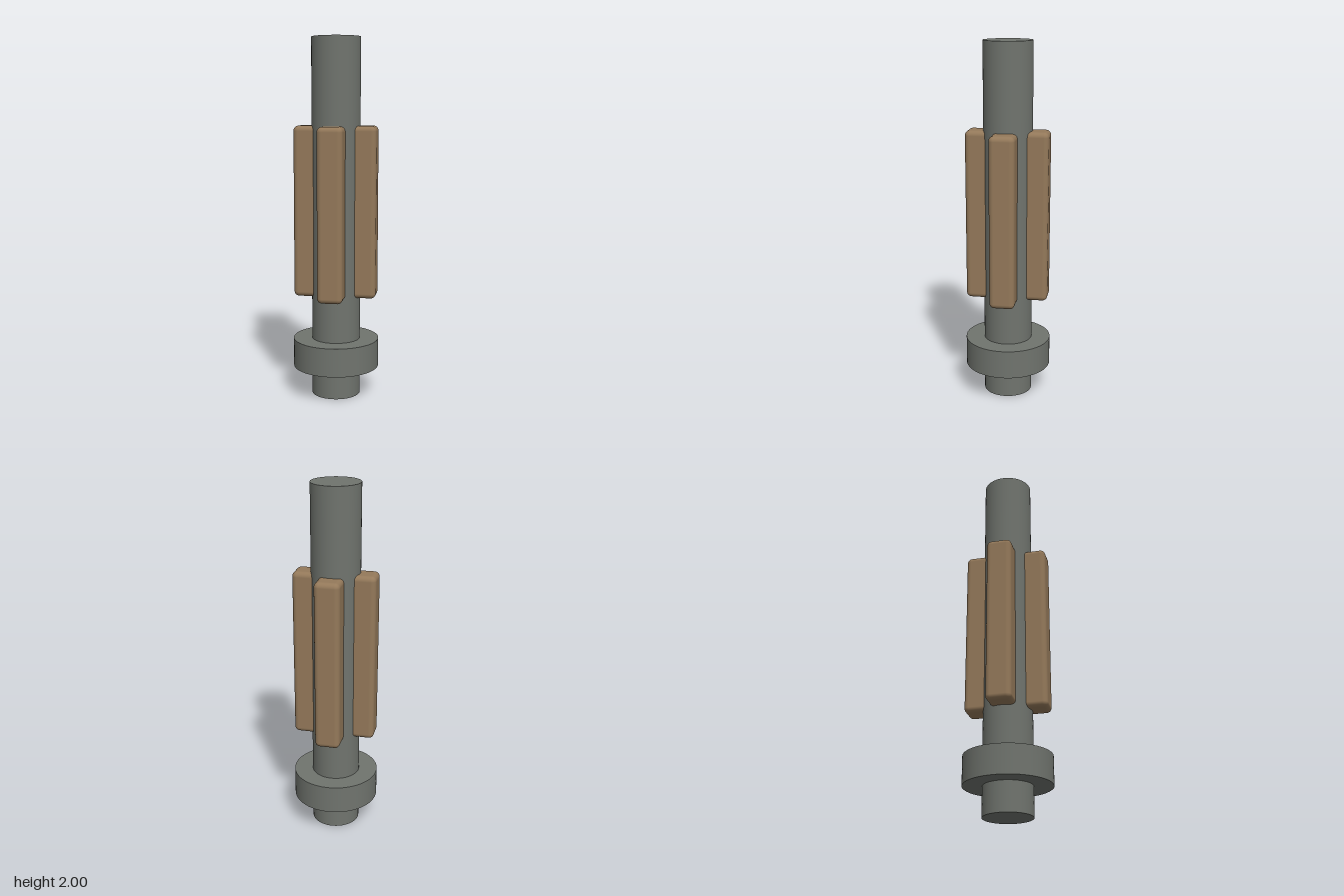
import * as THREE from 'three';
import { RoundedBoxGeometry } from 'three/addons/geometries/RoundedBoxGeometry.js';

export function createModel() {
  const model = new THREE.Group();
  model.name = 'slattedShaft';
  const metal = new THREE.MeshStandardMaterial({ color: 0x70746e });
  const wood = new THREE.MeshStandardMaterial({ color: 0x94795a });

  const add = (name, geometry, material, x, y, z) => {
    const mesh = new THREE.Mesh(geometry, material);
    mesh.name = name;
    mesh.position.set(x, y, z);
    model.add(mesh);
    return mesh;
  };

  // Full-height round shaft with a collar near the foot
  add('shaft', new THREE.CylinderGeometry(0.135, 0.135, 2, 64), metal, 0, 1, 0);
  add('collar', new THREE.CylinderGeometry(0.24, 0.24, 0.16, 64), metal, 0, 0.243, 0);

  // Four rounded slats set into the shaft, a quarter turn apart
  const slat = new RoundedBoxGeometry(0.14, 0.955, 0.14, 5, 0.028);
  ['frontSlat', 'leftSlat', 'backSlat', 'rightSlat'].forEach((name, i) => {
    const angle = (i * Math.PI) / 2;
    const mesh = add(name, slat, wood, 0.16 * Math.sin(angle), 1.043, 0.16 * Math.cos(angle));
    mesh.rotation.y = angle;
  });

  return model;
}
